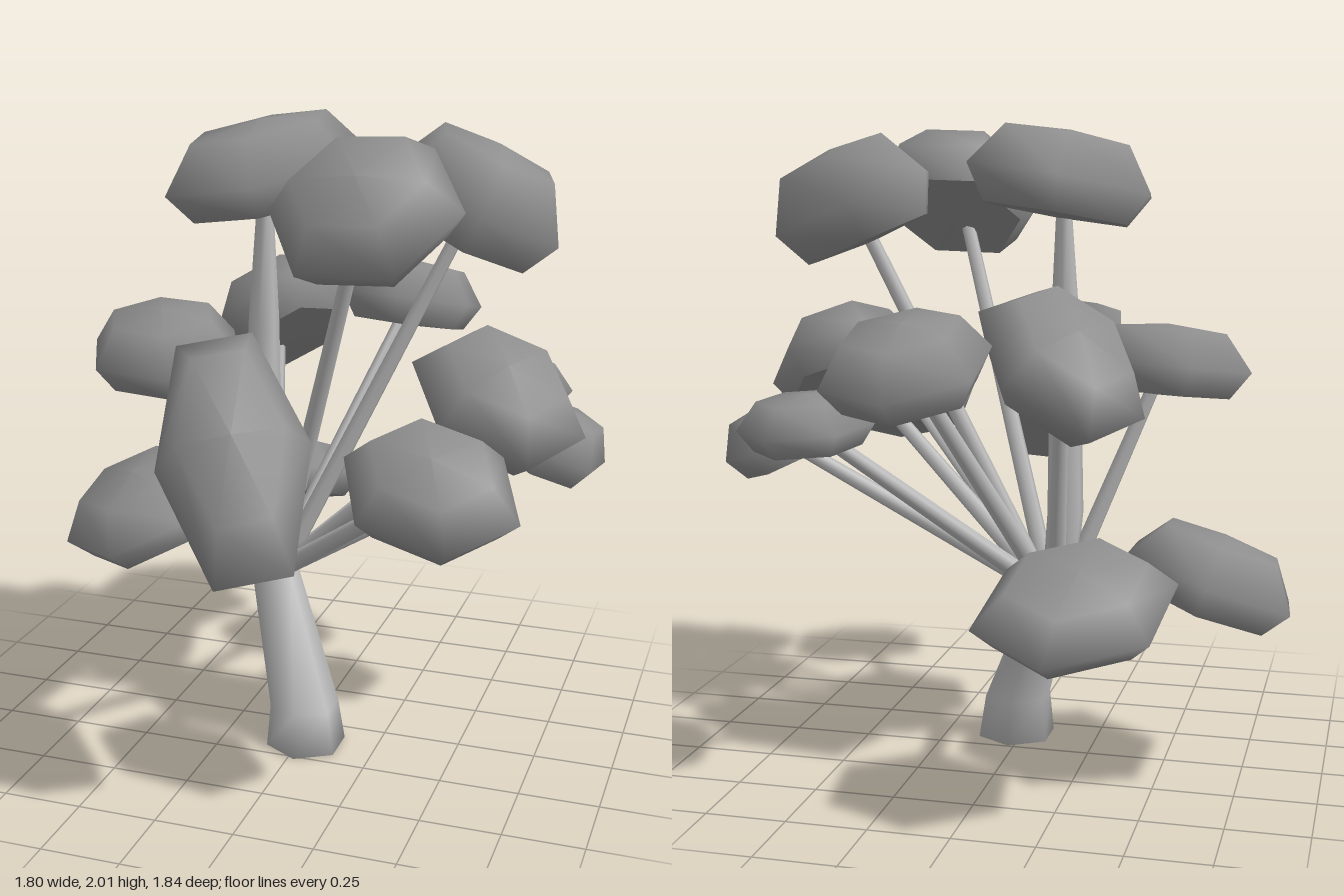
import * as THREE from 'three';
import { mergeGeometries, mergeVertices } from 'three/addons/utils/BufferGeometryUtils.js';

const bark = new THREE.MeshStandardMaterial({ color: 0xbcbcbc });
bark.name = 'bark';
const foliage = new THREE.MeshStandardMaterial({ color: 0x8e8e8e });
foliage.name = 'foliage';

// Foliage clumps: centre x, y, z; radii in x and z; diagonal stretch;
// slopes in x and z; half thickness; corner angle
const clumps = [
  [-0.33, 0.67, -0.60, 0.285, 0.27, -0.04, 0.12, 0.42, 0.12, 30],
  [0.15, 1.34, -0.64, 0.25, 0.28, 0, -0.06, 0.24, 0.13, 26],
  [0.54, 1.12, -0.41, 0.21, 0.21, 0, -0.05, 0.06, 0.10, 45],
  [0.75, 1.03, -0.12, 0.165, 0.195, 0, -0.42, 0.10, 0.12, 35],
  [0.485, 1.78, -0.12, 0.285, 0.29, 0.04, -0.42, 0.08, 0.18, 22],
  [-0.23, 1.32, -0.33, 0.25, 0.235, 0, 0.60, 0.58, 0.14, 0],
  [-0.655, 0.66, -0.13, 0.28, 0.36, 0.03, 0.33, -0.17, 0.135, 30],
  [-0.47, 1.28, 0.07, 0.28, 0.275, 0.03, 0.06, -0.12, 0.13, 10],
  [-0.17, 1.85, -0.05, 0.29, 0.305, -0.05, 0.14, -0.10, 0.155, 12],
  [0.265, 1.80, 0.345, 0.285, 0.20, -0.01, 0.00, -0.90, 0.155, 0],
  [0.635, 1.25, 0.205, 0.26, 0.21, 0, -0.35, -0.55, 0.145, 0],
  [0.53, 1.08, 0.575, 0.265, 0.20, 0, -0.15, -0.60, 0.135, 10],
  [-0.02, 1.14, 0.65, 0.25, 0.255, 0.035, -0.38, -1.12, 0.17, 30],
];
const leaderClump = 8;

const profile = (pairs) => pairs.map(([r, h]) => new THREE.Vector2(r, h));
const shell = profile([[0.78, -0.74], [1, -0.08], [0.68, 0.78], [0, 0.92]]);
const base = profile([[0, -0.8], [0.78, -0.74]]);

// Smooth six-sided cushion with a hard-edged base, laid on a sloping plane
function clumpGeometry([x, y, z, rx, rz, s, a, b, t, angle]) {
  const start = THREE.MathUtils.degToRad(90 - angle);
  const geo = mergeGeometries([shell, base].map((p) => new THREE.LatheGeometry(p, 6, start)));
  const m = new THREE.Matrix4().makeBasis(
    new THREE.Vector3(rx, a * rx + b * s, s),
    new THREE.Vector3(-a, 1, -b).setLength(t),
    new THREE.Vector3(s, a * s + b * rz, rz));
  m.setPosition(x, y, z);
  return geo.applyMatrix4(m);
}

// Upright limb through rings of [x, y, z, radius], listed from the top down
function limbGeometry(rings) {
  const n = rings.length - 1;
  const geo = new THREE.CylinderGeometry(1, 1, 1, 6, n);
  const pos = geo.attributes.position;
  for (let i = 0; i < pos.count; i++) {
    const [x, y, z, r] = rings[Math.round((0.5 - pos.getY(i)) * n)];
    pos.setXYZ(i, x + r * pos.getX(i), y, z + r * pos.getZ(i));
  }
  geo.deleteAttribute('uv');
  geo.deleteAttribute('normal');
  const smooth = mergeVertices(geo);
  smooth.computeVertexNormals();
  return smooth;
}

// Straight tapering stick between two points
function stickGeometry(from, to, r0, r1) {
  const dir = to.clone().sub(from);
  const geo = new THREE.CylinderGeometry(r1, r0, dir.length(), 6);
  const q = new THREE.Quaternion().setFromUnitVectors(
    new THREE.Vector3(0, 1, 0), dir.normalize());
  geo.applyQuaternion(q);
  const mid = from.clone().add(to).multiplyScalar(0.5);
  return geo.translate(mid.x, mid.y, mid.z);
}

export function createModel() {
  const tree = new THREE.Group();
  tree.name = 'tree';
  const add = (geo, mat, name) => {
    const mesh = new THREE.Mesh(geo, mat);
    mesh.name = name;
    tree.add(mesh);
  };

  // Leaning trunk with a flared foot, and the thick upright leader
  add(limbGeometry([
    [-0.145, 0.58, -0.005, 0.065],
    [-0.125, 0.53, 0.01, 0.078],
    [0.015, 0.14, 0.135, 0.112],
    [0.02, 0, 0.135, 0.13],
  ]), bark, 'trunk');
  add(limbGeometry([
    [-0.17, 1.80, -0.04, 0.022],
    [-0.175, 1.35, -0.03, 0.05],
    [-0.175, 0.80, -0.015, 0.06],
    [-0.15, 0.54, 0, 0.055],
  ]), bark, 'leader');

  // Clumps, each on a branch fanning out from the fork
  const fork = new THREE.Vector3(-0.14, 0.54, 0);
  clumps.forEach((c, i) => {
    add(clumpGeometry(c), foliage, `foliageClump${i + 1}`);
    if (i === leaderClump) return;
    const tip = new THREE.Vector3(c[0], c[1], c[2]);
    const out = tip.clone().sub(fork).setY(0).setLength(0.03);
    add(stickGeometry(fork.clone().add(out), tip, 0.031, 0.022), bark, `branch${i + 1}`);
  });
  return tree;
}
